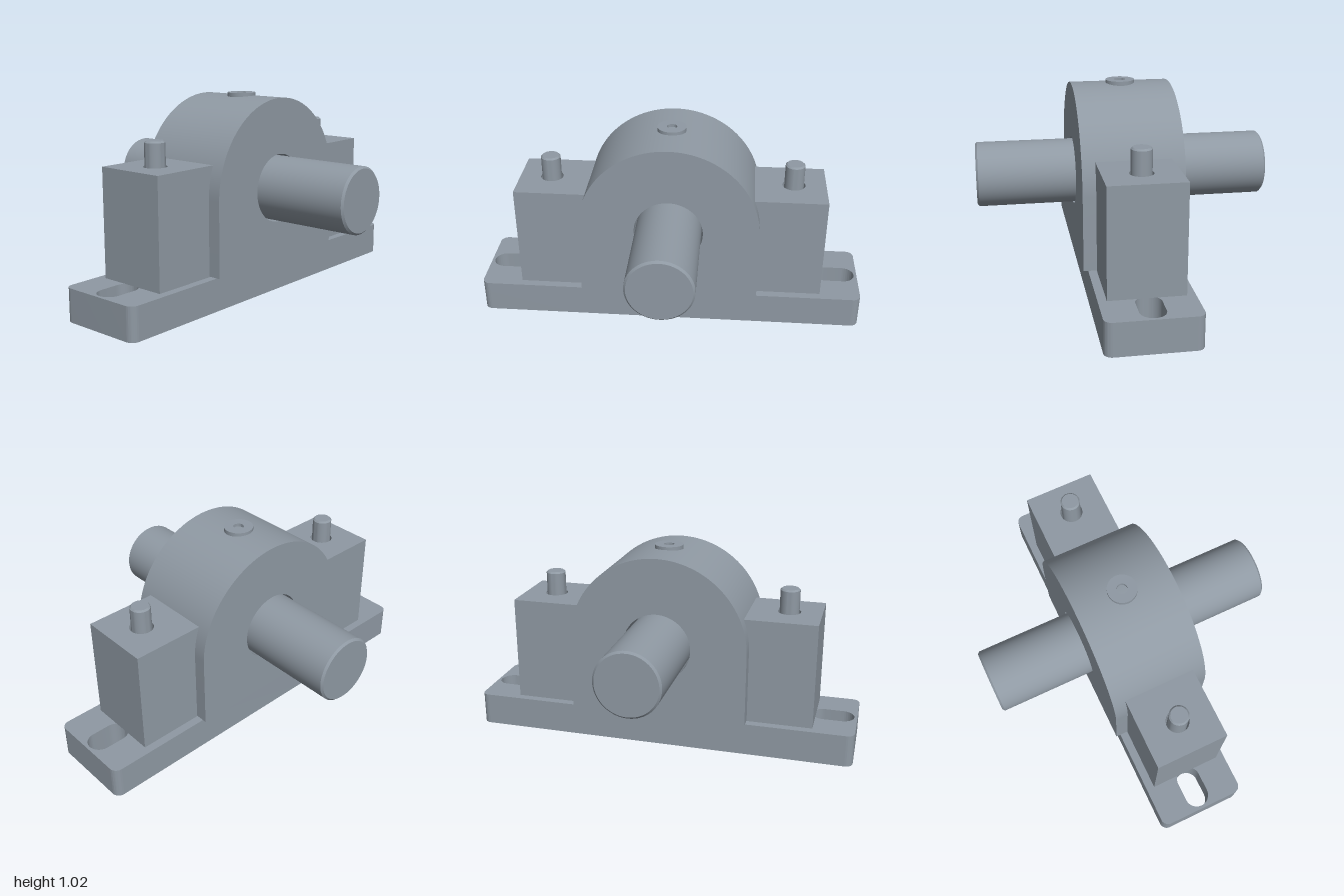
import * as THREE from 'three';
import { toCreasedNormals } from 'three/addons/utils/BufferGeometryUtils.js';

const BASE_TOP = 0.167;
const AXIS_Y = 0.545;

export function createModel() {
  const group = new THREE.Group();
  const steel = new THREE.MeshStandardMaterial({ color: 0x8f99a3 });
  steel.name = 'steel';

  const add = (name, geometry, x = 0, y = 0, z = 0) => {
    const mesh = new THREE.Mesh(toCreasedNormals(geometry, 0.5), steel);
    mesh.name = name;
    mesh.position.set(x, y, z);
    group.add(mesh);
    return mesh;
  };

  const circle = (x, y, r) => new THREE.Path().absarc(x, y, r, 0, Math.PI * 2, true);

  const extrude = (shape, depth) =>
    new THREE.ExtrudeGeometry(shape, { depth, bevelEnabled: false, curveSegments: 32 });

  // Plan outline raised along y
  const raise = (shape, height) => extrude(shape, height).rotateX(-Math.PI / 2);

  const lathe = (points, segments = 48) =>
    new THREE.LatheGeometry(points.map(([r, y]) => new THREE.Vector2(r, y)), segments);

  // Rod from y0 to y1 with chamfered ends
  const rod = (r, y0, y1, c, segments) => lathe(
    [[0, y0], [r - c, y0], [r, y0 + c], [r, y1 - c], [r - c, y1], [0, y1]], segments);

  // Base plate with rounded corners and a slot at each end
  const w = 1, d = 0.227, r = 0.04;
  const plate = new THREE.Shape()
    .absarc(w - r, d - r, r, 0, Math.PI / 2)
    .absarc(-w + r, d - r, r, Math.PI / 2, Math.PI)
    .absarc(-w + r, -d + r, r, Math.PI, Math.PI * 1.5)
    .absarc(w - r, -d + r, r, Math.PI * 1.5, Math.PI * 2);
  for (const s of [-1, 1]) {
    const cx = s * 0.877, half = 0.046, sr = 0.062;
    plate.holes.push(new THREE.Path()
      .absarc(cx + half, 0, sr, -Math.PI / 2, Math.PI / 2)
      .absarc(cx - half, 0, sr, Math.PI / 2, Math.PI * 1.5));
  }
  add('basePlate', raise(plate, BASE_TOP));

  // Arched bearing housing with a through bore
  const R = 0.457;
  const arch = new THREE.Shape()
    .moveTo(-R, 0.17)
    .lineTo(R, 0.17)
    .absarc(0, AXIS_Y, R, 0, Math.PI);
  arch.holes.push(circle(0, AXIS_Y, 0.174));
  add('housing', extrude(arch, 0.5), 0, 0, -0.25);

  // Shaft along z
  add('shaft', rod(0.165, -0.745, 0.745, 0.01, 64).rotateX(Math.PI / 2), 0, AXIS_Y, 0);

  // Shoulder blocks with clearance holes, and their bolts
  for (const [side, s] of [['left', 1], ['right', -1]]) {
    const a = Math.min(s * 0.3, s * 0.79), b = Math.max(s * 0.3, s * 0.79);
    const block = new THREE.Shape()
      .moveTo(a, -0.185).lineTo(b, -0.185).lineTo(b, 0.185).lineTo(a, 0.185);
    block.holes.push(circle(s * 0.625, 0, 0.058));
    add(side + 'Block', raise(block, 0.71 - BASE_TOP), 0, BASE_TOP, 0);
    add(side + 'Bolt', rod(0.05, BASE_TOP, 0.833, 0.008, 32), s * 0.625, 0, 0);
  }

  // Oil port on the crown with a small blind hole
  add('oilPort', lathe([
    [0.073, 0.97], [0.073, 1.017], [0.026, 1.017], [0.026, 0.93], [0, 0.93],
  ], 40));

  return group;
}
